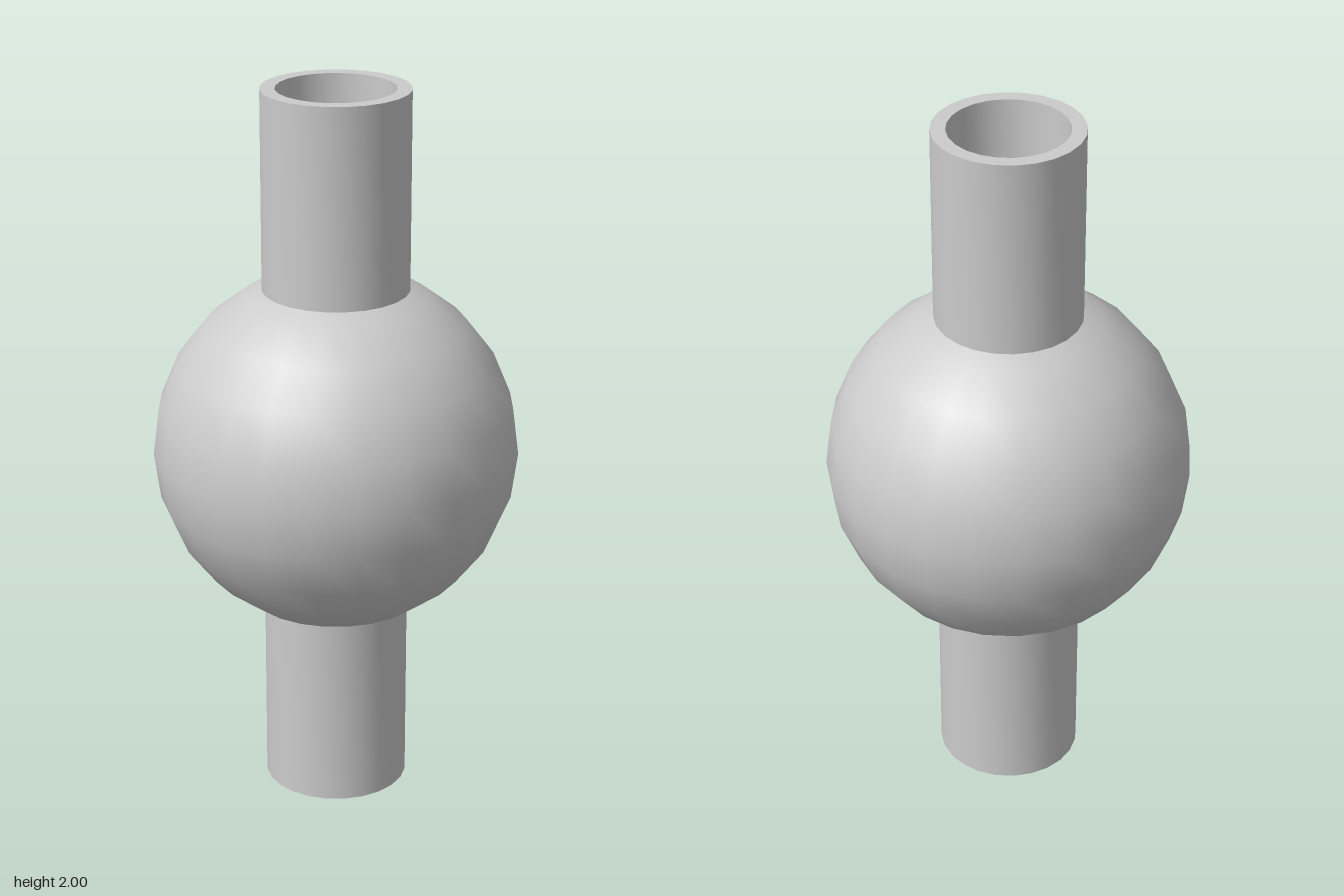
import * as THREE from 'three';
import { toCreasedNormals } from 'three/addons/utils/BufferGeometryUtils.js';

const SIDES = 24;

// Hollow tube, its wall profile turned around the y axis
function tubeGeometry(outer, inner, bottom, top) {
  const profile = [
    [outer, bottom], [outer, top], [inner, top], [inner, bottom], [outer, bottom],
  ].map(([r, y]) => new THREE.Vector2(r, y));
  return toCreasedNormals(new THREE.LatheGeometry(profile, SIDES), Math.PI / 6);
}

export function createModel() {
  const group = new THREE.Group();
  const material = new THREE.MeshStandardMaterial({ color: 0xcccccc });

  const add = (name, geometry, y = 0) => {
    const mesh = new THREE.Mesh(geometry, material);
    mesh.name = name;
    mesh.position.y = y;
    group.add(mesh);
  };

  // Round body in the middle
  add('bulb', new THREE.SphereGeometry(0.5, SIDES, SIDES / 2), 1);

  // Open pipe ends, rooted just inside the bulb
  add('lowerPipe', tubeGeometry(0.2, 0.16, 0, 0.6));
  add('upperPipe', tubeGeometry(0.2, 0.16, 1.4, 2));

  return group;
}
